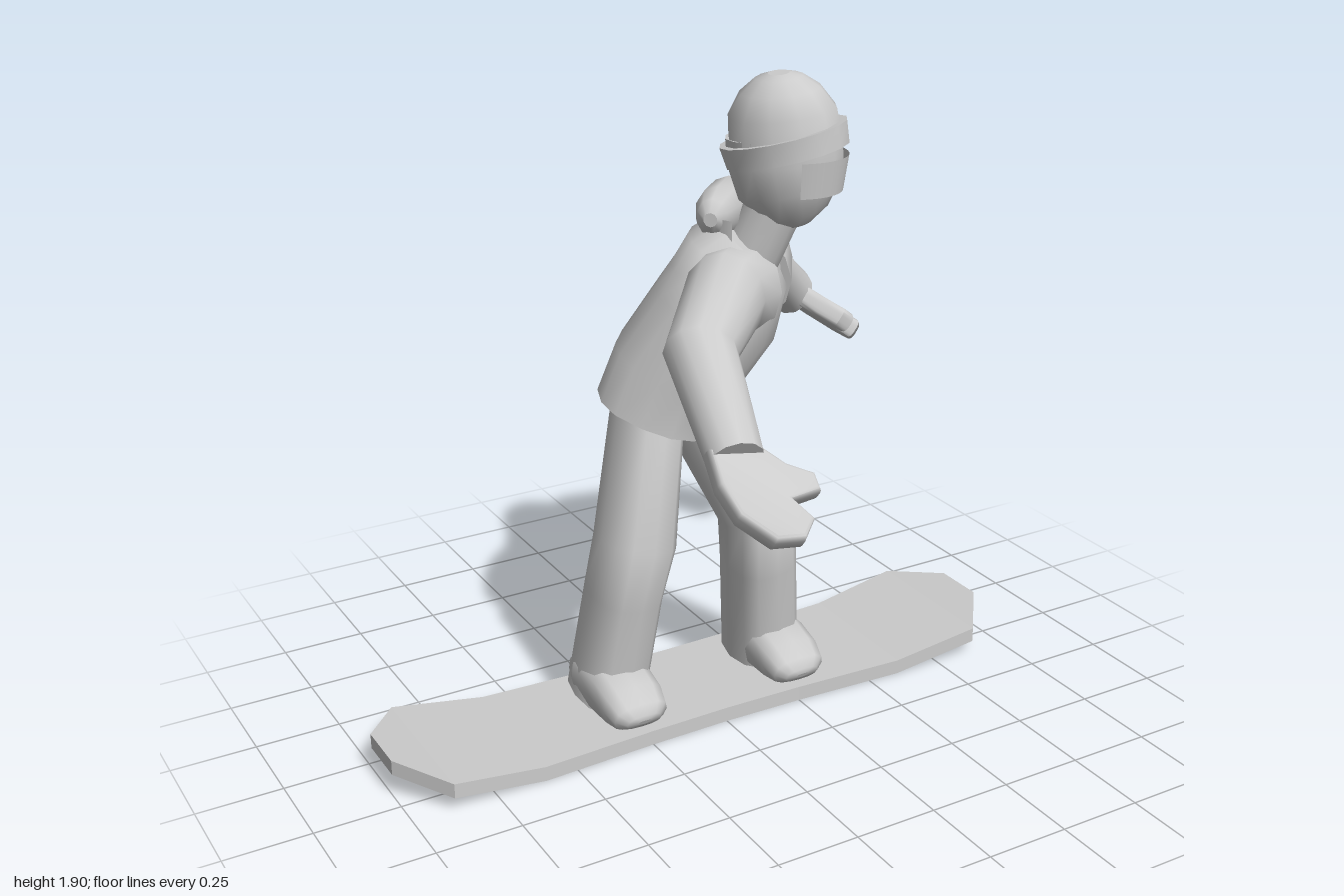
import * as THREE from 'three';
import { toCreasedNormals } from 'three/addons/utils/BufferGeometryUtils.js';

const V = (x, y, z) => new THREE.Vector3(x, y, z);
const FACING = Math.PI / 4; // body is turned towards its left
const LEFT = V(Math.SQRT1_2, 0, -Math.SQRT1_2);

// Skin over rings of points, with separate end caps so the rims stay sharp
function loft(rings) {
  const n = rings[0].length, pos = [], idx = [];
  rings.forEach((r) => r.forEach((p) => pos.push(p.x, p.y, p.z)));
  for (let i = 0; i < rings.length - 1; i++) {
    for (let j = 0; j < n; j++) {
      const a = i * n + j, b = i * n + (j + 1) % n;
      idx.push(a, b, b + n, a, b + n, a + n);
    }
  }
  [rings[0], rings[rings.length - 1]].forEach((ring, end) => {
    const base = pos.length / 3;
    const mid = ring.reduce((s, p) => s.add(p), V(0, 0, 0)).divideScalar(n);
    [mid, ...ring].forEach((p) => pos.push(p.x, p.y, p.z));
    for (let j = 0; j < n; j++) {
      const a = base + 1 + j, b = base + 1 + (j + 1) % n;
      if (end) idx.push(base, a, b);
      else idx.push(base, b, a);
    }
  });
  const g = new THREE.BufferGeometry();
  g.setAttribute('position', new THREE.Float32BufferAttribute(pos, 3));
  g.setIndex(idx);
  g.computeVertexNormals();
  return g;
}

// Rounded limb along stations [x, y, z, radius along side, other radius]; power < 1 is boxier
function limb(stations, side, sides = 12, power = 1) {
  const c = stations.map((s) => V(s[0], s[1], s[2]));
  const bend = (t) => Math.sign(t) * Math.abs(t) ** power;
  return loft(stations.map(([, , , ru, rv = ru], i) => {
    const dir = V(0, 0, 0);
    if (i > 0) dir.add(c[i].clone().sub(c[i - 1]).normalize());
    if (i < c.length - 1) dir.add(c[i + 1].clone().sub(c[i]).normalize());
    dir.normalize();
    const u = side.clone().addScaledVector(dir, -side.dot(dir)).normalize();
    const v = dir.clone().cross(u);
    return Array.from({ length: sides }, (_, j) => {
      const a = (j / sides) * Math.PI * 2;
      return c[i].clone().addScaledVector(u, ru * bend(Math.cos(a))).addScaledVector(v, rv * bend(Math.sin(a)));
    });
  }));
}

// Flat mitten with a thumb, pointing along dir with the thumb towards thumbSide
function mitten(wrist, dir, thumbSide) {
  const outline = [[-0.03, -0.06], [0.06, -0.077], [0.15, -0.067], [0.235, -0.01], [0.25, 0.06], [0.215, 0.1],
    [0.145, 0.07], [0.14, 0.16], [0.105, 0.165], [0.06, 0.105], [0, 0.065], [-0.03, 0.06]];
  const g = new THREE.ExtrudeGeometry(new THREE.Shape(outline.map(([x, y]) => new THREE.Vector2(x, y))), {
    depth: 0.02, bevelEnabled: true, bevelThickness: 0.022, bevelSize: 0.012, bevelSegments: 3,
  }).translate(0, 0, -0.01);
  const x = dir.normalize();
  const y = thumbSide.addScaledVector(x, -thumbSide.dot(x)).normalize();
  g.applyMatrix4(new THREE.Matrix4().makeBasis(x, y, x.clone().cross(y)).setPosition(wrist));
  return toCreasedNormals(g, 1);
}

export function createModel() {
  const model = new THREE.Group();
  const smooth = new THREE.MeshStandardMaterial({ color: 0xcccccc });
  const flat = new THREE.MeshStandardMaterial({ color: 0xcccccc, flatShading: true });
  const sheet = new THREE.MeshStandardMaterial({ color: 0xcccccc, side: THREE.DoubleSide });
  const add = (name, geometry, material = smooth) => {
    const m = new THREE.Mesh(geometry, material);
    m.name = name;
    model.add(m);
    return m;
  };

  // Board: box sections along x [x, underside height, half width]
  const half = [[0, 0, 0.2], [0.25, 0, 0.205], [0.6, 0, 0.222], [0.88, 0.042, 0.235], [1, 0.07, 0.08]];
  const sections = [...half.slice(1).reverse().map(([x, y, w]) => [-x, y, w]), ...half];
  add('board', loft(sections.map(([x, y, w]) => {
    const z = -0.137, top = y + 0.045;
    return [V(x, y, z - w), V(x, top, z - w), V(x, top, z + w), V(x, y, z + w)];
  })), flat);

  // Boots
  for (const [name, x] of [['rightBoot', -0.27], ['leftBoot', 0.27]]) {
    add(name, limb([[x, 0.1, -0.3, 0.07, 0.05], [x, 0.11, -0.22, 0.1, 0.08], [x, 0.11, -0.1, 0.1, 0.082],
      [x, 0.097, -0.02, 0.097, 0.067], [x, 0.083, 0.03, 0.085, 0.047], [x, 0.075, 0.05, 0.055, 0.025],
      [x, 0.073, 0.054, 0.02, 0.008]], V(1, 0, 0), 12, 0.75));
  }

  // Trouser legs, bent at the knee
  add('rightLeg', limb([[-0.08, 1.02, -0.21, 0.08, 0.11], [-0.115, 0.9, -0.2, 0.095, 0.125],
    [-0.205, 0.57, -0.115, 0.11, 0.125], [-0.23, 0.4, -0.145, 0.105, 0.12],
    [-0.266, 0.055, -0.2, 0.106, 0.125]], V(1, 0, 0), 12, 0.8));
  add('leftLeg', limb([[0.03, 1.02, -0.31, 0.08, 0.1], [0.075, 0.9, -0.285, 0.095, 0.12],
    [0.205, 0.57, -0.115, 0.108, 0.125], [0.23, 0.4, -0.145, 0.105, 0.12],
    [0.272, 0.055, -0.2, 0.106, 0.125]], V(1, 0, 0), 12, 0.8));

  // Jacket, leaning forward and flaring at the hem
  add('jacket', limb([[-0.035, 0.925, -0.24, 0.228, 0.19], [-0.005, 1.05, -0.21, 0.215, 0.185],
    [0.08, 1.22, -0.135, 0.21, 0.185], [0.11, 1.32, -0.115, 0.205, 0.165],
    [0.125, 1.385, -0.11, 0.175, 0.14], [0.155, 1.43, -0.085, 0.125, 0.11]], LEFT, 16, 0.82));

  // Sleeves, deep at the shoulder, and mittens
  add('rightSleeve', limb([[0.1, 1.29, -0.06, 0.14, 0.13], [0.0, 1.315, 0.045, 0.128, 0.115],
    [-0.17, 1.235, 0.21, 0.1], [-0.235, 1.05, 0.5, 0.076]], V(0, 1, 0)));
  add('leftSleeve', limb([[0.18, 1.29, -0.14, 0.14, 0.13], [0.265, 1.315, -0.245, 0.128, 0.115],
    [0.36, 1.255, -0.465, 0.1], [0.635, 1.045, -0.615, 0.076]], V(0, 1, 0)));
  add('rightMitten', mitten(V(-0.235, 1.05, 0.5), V(0.05, -0.62, 0.76), V(1, 0, 0)));
  add('leftMitten', mitten(V(0.635, 1.05, -0.615), V(0.78, -0.6, 0.05), V(0, 0, 1)));

  // Neck, standing collar and folded hood
  add('neck', limb([[0.15, 1.36, -0.085, 0.085], [0.215, 1.56, -0.02, 0.08]], LEFT));
  const collar = add('collar', new THREE.CylinderGeometry(0.13, 0.13, 0.09, 10, 1, true, Math.PI * 0.55, Math.PI * 0.9), sheet);
  collar.position.set(0.16, 1.46, -0.085);
  collar.rotation.y = FACING;
  const hood = [[-0.14, 0.02, 0.02], [-0.12, 0.055, 0.045], [-0.06, 0.075, 0.065], [0.06, 0.075, 0.065],
    [0.12, 0.055, 0.045], [0.14, 0.02, 0.02]];
  add('hood', limb(hood.map(([t, ru, rv]) => [0.11 + t * LEFT.x, 1.505, -0.15 + t * LEFT.z, ru, rv]), V(0, 1, 0), 10));

  // Head, goggles and hat
  add('head', limb([[0.255, 1.48, 0.02, 0.035, 0.035], [0.247, 1.51, 0.015, 0.08, 0.09],
    [0.23, 1.58, 0.003, 0.123, 0.147], [0.22, 1.66, -0.005, 0.138, 0.162], [0.216, 1.73, -0.01, 0.138, 0.162]], LEFT, 16));
  const goggles = add('goggles', new THREE.CylinderGeometry(0.168, 0.153, 0.1, 12, 1, true, -1.15, 2.3), sheet);
  goggles.position.set(0.225, 1.63, 0);
  goggles.rotation.y = FACING;
  goggles.scale.x = 0.86;
  add('hatBrim', limb([[0.227, 1.672, -0.002, 0.152, 0.174], [0.216, 1.732, -0.012, 0.158, 0.181]], LEFT, 16));
  add('hatCrown', limb([[0.221, 1.7, -0.006, 0.145, 0.16], [0.212, 1.79, -0.012, 0.14, 0.152],
    [0.206, 1.85, -0.014, 0.108, 0.113], [0.203, 1.885, -0.015, 0.065, 0.066], [0.202, 1.895, -0.015, 0.03, 0.03]], LEFT, 12));

  return model;
}
